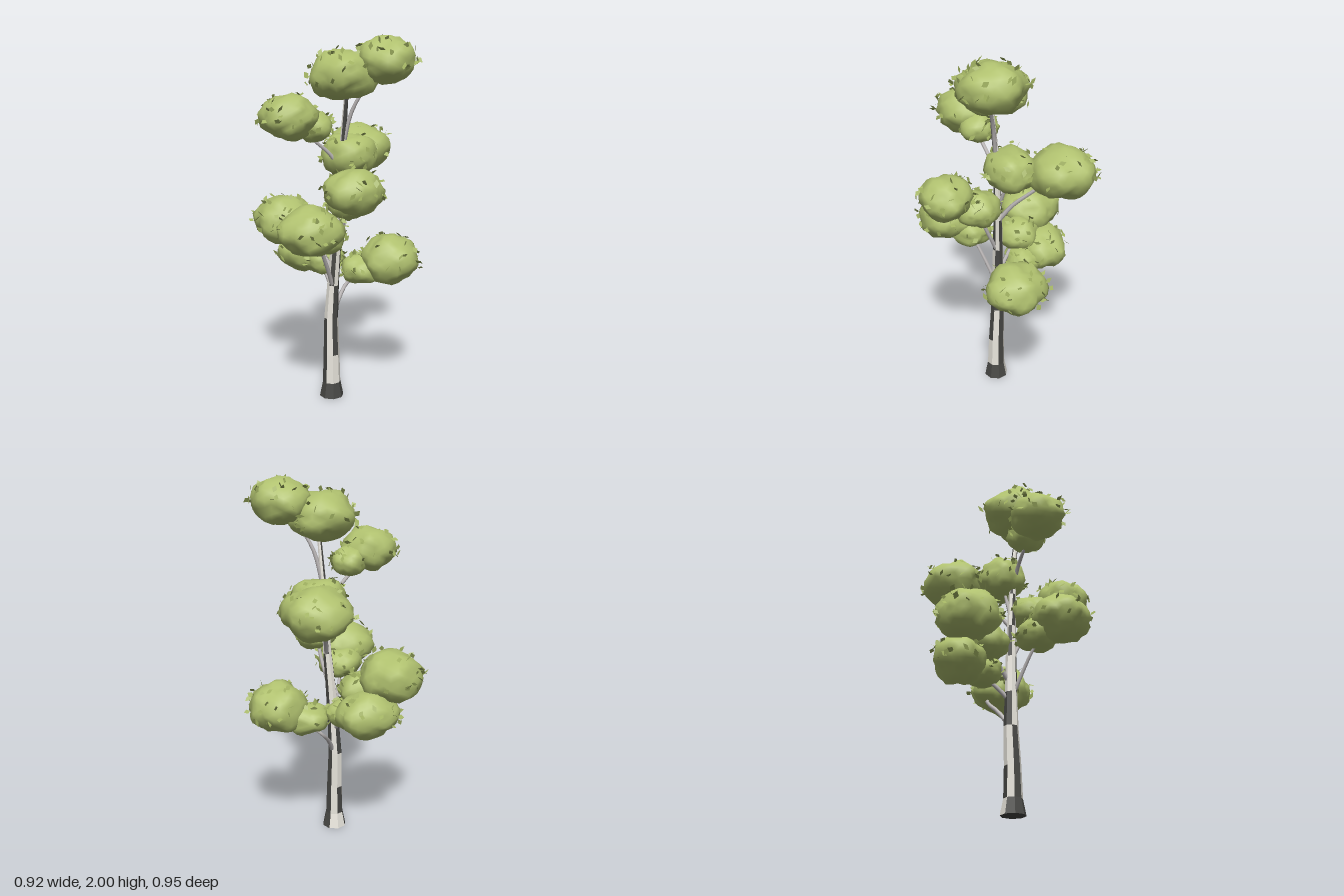
import * as THREE from 'three';
import { mergeVertices } from 'three/addons/utils/BufferGeometryUtils.js';

const mat = (name, color, side = THREE.FrontSide) => {
  const m = new THREE.MeshStandardMaterial({ color, side });
  m.name = name;
  return m;
};

// Small seeded random generator
function seeded(seed) {
  return () => {
    seed = (seed * 1664525 + 1013904223) % 4294967296;
    return seed / 4294967296;
  };
}

// Trunk rings: x, y, z, radius
const RINGS = [
  [-0.06, 0, 0.02, 0.067], [-0.06, 0.085, 0.02, 0.05], [-0.06, 0.25, 0.018, 0.045],
  [-0.06, 0.46, 0.01, 0.039], [-0.05, 0.65, 0.012, 0.033], [-0.035, 0.86, 0.015, 0.029],
  [-0.018, 1.05, 0.02, 0.024], [-0.008, 1.25, 0.027, 0.02], [0, 1.45, 0.035, 0.016],
  [0.012, 1.68, 0.06, 0.012], [0.015, 1.8, 0.07, 0.008]
];
// Bark of each band, eight facets from the front round by the left; D is dark
const BARK = ['DDDLLDDD', 'LLDLDLDL', 'DLDLLLDL', 'DDDLDDLL', 'LDDLLLLD',
  'DLDLLDLL', 'DLLDLLDL', 'LDDLLDLL', 'DDLLDLLD', 'DLLLDLLL'];

function trunkGeometry() {
  const pos = { L: [], D: [] };
  const corner = ([x, y, z, r], k) => {
    const a = k * Math.PI / 4;
    return [x + r * Math.sin(a), y, z + r * Math.cos(a)];
  };
  BARK.forEach((band, i) => {
    for (let k = 0; k < 8; k++) {
      const a = corner(RINGS[i], k), b = corner(RINGS[i], k + 1);
      const c = corner(RINGS[i + 1], k + 1), d = corner(RINGS[i + 1], k);
      pos[band[k]].push(...a, ...b, ...c, ...a, ...c, ...d);
    }
  });
  // Closed foot
  for (let k = 0; k < 8; k++) {
    pos.D.push(...RINGS[0].slice(0, 3), ...corner(RINGS[0], k + 1), ...corner(RINGS[0], k));
  }
  const g = new THREE.BufferGeometry();
  g.setAttribute('position', new THREE.Float32BufferAttribute([...pos.L, ...pos.D], 3));
  g.addGroup(0, pos.L.length / 3, 0);
  g.addGroup(pos.L.length / 3, pos.D.length / 3, 1);
  g.computeVertexNormals();
  return g;
}

// Foliage clumps: centre x, y, z, then radii x, y, z
const CLUMPS = [
  [0.21, 1.87, 0.11, 0.15, 0.12, 0.165], [0, 1.795, 0.05, 0.175, 0.13, 0.185],
  [-0.30, 1.59, 0.12, 0.145, 0.115, 0.15], [-0.16, 1.535, 0.08, 0.095, 0.08, 0.1],
  [0.15, 1.36, -0.28, 0.175, 0.135, 0.175], [0.05, 1.365, -0.03, 0.15, 0.115, 0.135],
  [0, 1.23, 0.31, 0.15, 0.115, 0.14], [0.01, 1.145, 0.14, 0.115, 0.095, 0.12],
  [-0.21, 1.02, 0.25, 0.165, 0.125, 0.155], [-0.14, 0.95, 0.14, 0.125, 0.085, 0.115],
  [-0.28, 0.97, -0.24, 0.165, 0.135, 0.17], [-0.16, 0.88, -0.14, 0.13, 0.095, 0.12],
  [-0.14, 0.785, -0.27, 0.17, 0.125, 0.14], [-0.07, 0.75, -0.14, 0.11, 0.08, 0.1],
  [0.275, 0.78, 0.01, 0.155, 0.135, 0.16], [0.125, 0.715, -0.05, 0.12, 0.085, 0.11]
];

// Uneven swelling of a clump in direction d
const swell = (d, s) => 1
  + 0.05 * Math.sin(4.1 * d.x + s * 2.3) * Math.cos(3.7 * d.y + s)
  + 0.045 * Math.sin(6.3 * d.z + s * 1.7 + 3 * d.x)
  + 0.04 * Math.sin(9 * d.y - 7 * d.x + s * 3.1) * Math.cos(8 * d.z + s);

const place = (d, [x, y, z, rx, ry, rz], f) =>
  new THREE.Vector3(x + d.x * rx * f, y + d.y * ry * f, z + d.z * rz * f);

function clumpGeometry(clump, s) {
  let g = new THREE.IcosahedronGeometry(1, 4);
  g.deleteAttribute('uv');
  g.deleteAttribute('normal');
  g = mergeVertices(g, 1e-4);
  const p = g.attributes.position, d = new THREE.Vector3(), rnd = seeded(s * 331 + 7);
  for (let i = 0; i < p.count; i++) {
    d.fromBufferAttribute(p, i);
    const v = place(d, clump, swell(d, s) + 0.07 * (rnd() - 0.4));
    p.setXYZ(i, v.x, v.y, v.z);
  }
  g.computeVertexNormals();
  return g;
}

// Diamond leaves scattered over a clump, mostly on its upper side
function leafGeometry(clump, s) {
  const rnd = seeded(s * 977 + 13), pos = [];
  const count = Math.round(clump[3] * 210);
  for (let i = 0; i < count; i++) {
    const y = -0.3 + 1.25 * rnd(), a = rnd() * Math.PI * 2, r = Math.sqrt(1 - y * y);
    const d = new THREE.Vector3(r * Math.cos(a), y, r * Math.sin(a));
    const c = place(d, clump, swell(d, s) + 0.04 + 0.08 * rnd());
    const jitter = () => new THREE.Vector3(rnd() - 0.5, rnd() - 0.5, rnd() - 0.5);
    const along = jitter().normalize().addScaledVector(d, 0.3).normalize();
    const across = jitter().cross(along).normalize();
    along.multiplyScalar(0.017 + 0.009 * rnd());
    across.multiplyScalar(0.011 + 0.005 * rnd());
    const tip = c.clone().add(along), foot = c.clone().sub(along);
    const left = c.clone().sub(across), right = c.clone().add(across);
    for (const v of [foot, right, tip, foot, tip, left]) pos.push(v.x, v.y, v.z);
  }
  const g = new THREE.BufferGeometry();
  g.setAttribute('position', new THREE.Float32BufferAttribute(pos, 3));
  g.computeVertexNormals();
  return g;
}

// Branch paths from the trunk into the clumps
const BRANCHES = [
  [[-0.05, 0.46, 0.01], [0.0, 0.56, -0.05], [0.06, 0.63, -0.1], [0.14, 0.69, -0.06], [0.25, 0.76, 0]],
  [[-0.05, 0.6, 0.01], [-0.07, 0.68, -0.08], [-0.12, 0.76, -0.24]],
  [[-0.05, 0.63, 0.02], [-0.09, 0.76, 0.07], [-0.14, 0.89, 0.13], [-0.2, 1, 0.23]],
  [[-0.04, 0.7, 0.01], [-0.1, 0.82, -0.08], [-0.26, 0.95, -0.22]],
  [[-0.03, 0.85, 0.02], [-0.01, 0.98, 0.08], [0, 1.1, 0.14], [0, 1.21, 0.29]],
  [[-0.015, 1.04, 0.02], [0.02, 1.14, -0.05], [0.06, 1.21, -0.12], [0.14, 1.34, -0.26]],
  [[-0.02, 1.1, 0.02], [0.02, 1.22, 0], [0.05, 1.36, -0.02]],
  [[-0.005, 1.28, 0.03], [-0.07, 1.38, 0.045], [-0.16, 1.46, 0.07], [-0.28, 1.57, 0.12]],
  [[0, 1.42, 0.035], [0.04, 1.6, 0.06], [0.1, 1.72, 0.09], [0.2, 1.84, 0.11]]
];

function branchGeometry(points) {
  const curve = new THREE.CatmullRomCurve3(points.map(p => new THREE.Vector3(...p)));
  const g = new THREE.TubeGeometry(curve, 10, 0.013, 6);
  const p = g.attributes.position, v = new THREE.Vector3();
  // Taper toward the tip
  for (let i = 0; i < p.count; i++) {
    const t = Math.floor(i / 7) / 10, c = curve.getPointAt(t);
    v.fromBufferAttribute(p, i).sub(c).multiplyScalar(1 - 0.5 * t).add(c);
    p.setXYZ(i, v.x, v.y, v.z);
  }
  return g;
}

export function createModel() {
  const tree = new THREE.Group();
  tree.name = 'tree';
  const pale = mat('paleBark', 0xeeebe2), dark = mat('darkBark', 0x484845);
  const grey = mat('branchBark', 0xbcb8b8);
  const green = mat('foliageGreen', 0xb0c16f);
  const leaf = mat('leafGreen', 0xa3b463, THREE.DoubleSide);
  const add = (name, geometry, material) => {
    const m = new THREE.Mesh(geometry, material);
    m.name = name;
    tree.add(m);
  };

  add('trunk', trunkGeometry(), [pale, dark]);
  BRANCHES.forEach((b, i) => add('branch' + (i + 1), branchGeometry(b), grey));
  CLUMPS.forEach((c, i) => {
    add('foliage' + (i + 1), clumpGeometry(c, i + 1), green);
    add('leaves' + (i + 1), leafGeometry(c, i + 1), leaf);
  });
  return tree;
}
